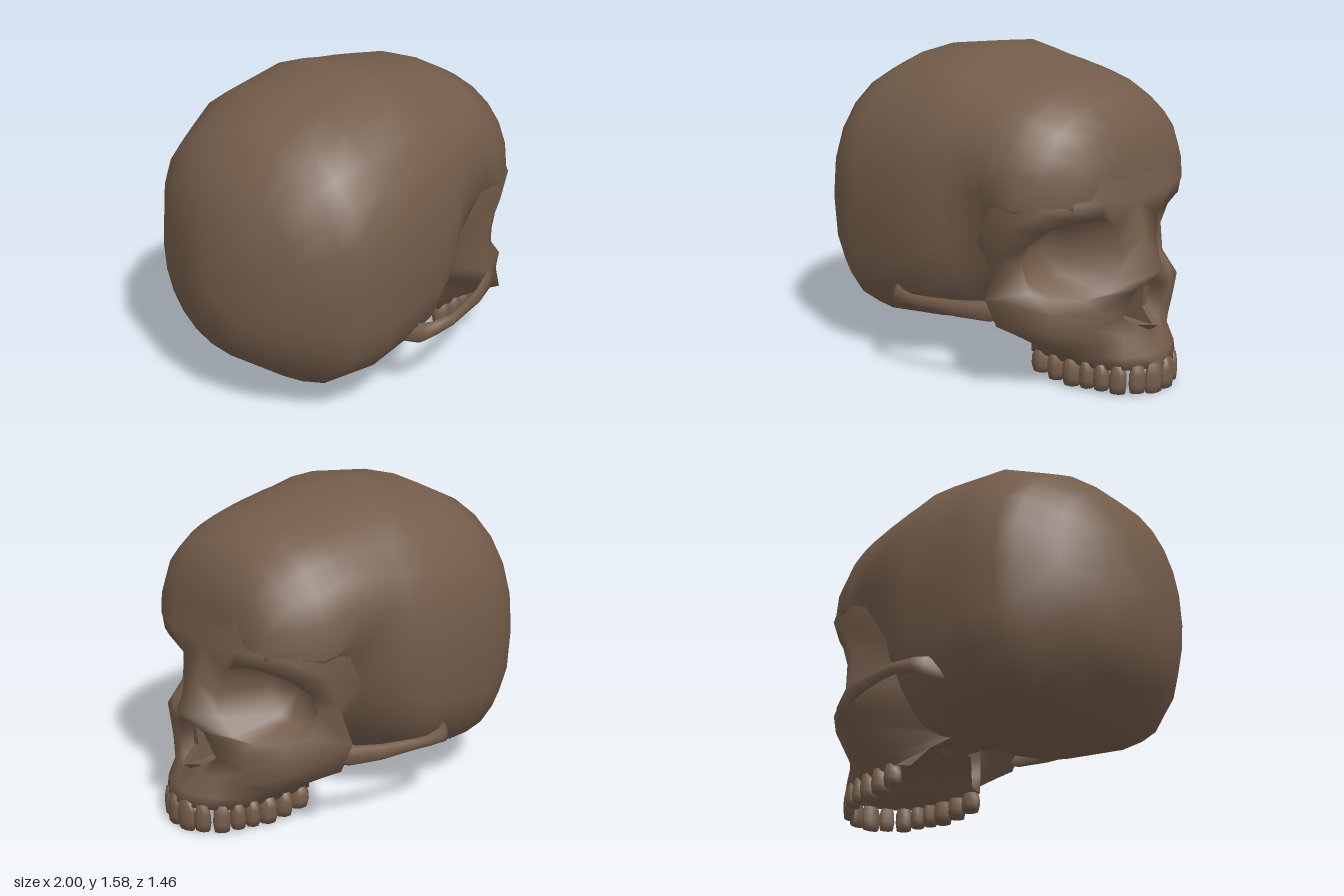
import * as THREE from 'three';
import { mergeGeometries, mergeVertices } from 'three/addons/utils/BufferGeometryUtils.js';

const bone = new THREE.MeshStandardMaterial({ color: 0x735c4a, side: THREE.DoubleSide });
bone.name = 'brown bone';

// Surface through rows of [x, y, z] points
function loft(rows, closed = false) {
  const n = rows[0].length, index = [];
  for (let r = 0; r < rows.length - 1; r++) {
    for (let c = 0; c < (closed ? n : n - 1); c++) {
      const d = (c + 1) % n;
      const a = r * n + c, b = r * n + d, e = a + n, f = b + n;
      index.push(a, b, e, b, f, e);
    }
  }
  const g = new THREE.BufferGeometry();
  g.setAttribute('position', new THREE.Float32BufferAttribute(rows.flat(2), 3));
  g.setIndex(index);
  return g;
}

// Copy to the other side of the head with corner order kept outward
function mirrored(geometry) {
  const g = geometry.clone().scale(1, 1, -1);
  g.index.array.reverse();
  return g;
}

function smooth(parts) {
  const g = mergeVertices(mergeGeometries(parts), 1e-4);
  g.computeVertexNormals();
  return g;
}

const mix = (a, b, t) => a + (b - a) * t;

// Narrowing of the temple below a line that falls towards the brow
function temple(x, y) {
  const below = 1.2 - 0.6 * (x - 0.05) - y;
  return 1 - 0.14 * THREE.MathUtils.smoothstep(below, 0, 0.26) * THREE.MathUtils.smoothstep(x, 0, 0.36);
}

// Braincase: cross-sections [x, bottom, widest height, top, half width, roundness of lower half]
function cranium() {
  const sections = [
    [-1.0, 0.69, 0.69, 0.69, 0, 2], [-0.93, 0.41, 0.70, 1.06, 0.225, 2],
    [-0.85, 0.28, 0.74, 1.25, 0.45, 2.2], [-0.70, 0.165, 0.78, 1.40, 0.61, 2.6],
    [-0.61, 0.11, 0.80, 1.445, 0.645, 2.9], [-0.44, 0.13, 0.83, 1.525, 0.71, 3.1],
    [-0.08, 0.17, 0.84, 1.58, 0.705, 2.9], [0.06, 0.21, 0.87, 1.55, 0.685, 2.4],
    [0.13, 0.235, 0.90, 1.54, 0.67, 2.2], [0.20, 0.26, 0.93, 1.525, 0.655, 2],
    [0.28, 0.255, 0.97, 1.51, 0.635, 1.9], [0.36, 0.25, 0.99, 1.493, 0.615, 1.8],
    [0.41, 0.52, 0.98, 1.483, 0.605, 2], [0.47, 0.74, 0.95, 1.472, 0.595, 2],
    [0.53, 0.82, 0.93, 1.45, 0.58, 2], [0.65, 0.85, 0.94, 1.38, 0.52, 2.3],
    [0.75, 0.88, 0.95, 1.285, 0.41, 2.5], [0.78, 0.90, 0.95, 1.10, 0.31, 2.5],
    [0.80, 0.93, 0.93, 0.93, 0, 2],
  ];
  const sides = 24;
  const rows = sections.map(([x, bottom, mid, top, width, low]) =>
    Array.from({ length: sides }, (_, i) => {
      const angle = (-i / sides) * Math.PI * 2;
      const c = Math.cos(angle), s = Math.sin(angle);
      const p = 2 / (s >= 0 ? 2.3 : low);
      const up = Math.abs(s) ** p;
      const y = s >= 0 ? mix(mid, top, up) : mix(mid, bottom, up);
      return [x, y, Math.sign(c) * Math.abs(c) ** p * width * temple(x, y)];
    }));
  return smooth([loft(rows, true)]);
}

// One half of the face, stitched from strips
function halfFace() {
  const rim = [[0.80, 0.82, 0.165], [0.81, 0.88, 0.26], [0.76, 0.875, 0.37], [0.67, 0.83, 0.47],
    [0.58, 0.75, 0.52], [0.53, 0.64, 0.53], [0.57, 0.51, 0.50], [0.67, 0.48, 0.43],
    [0.76, 0.48, 0.33], [0.81, 0.50, 0.23], [0.83, 0.58, 0.16], [0.83, 0.69, 0.125]];
  const around = [[0.81, 0.91, 0], [0.81, 0.94, 0.24], [0.76, 0.95, 0.39], [0.66, 0.92, 0.525],
    [0.52, 0.83, 0.585], [0.44, 0.66, 0.57], [0.40, 0.475, 0.625], [0.69, 0.42, 0.47],
    [0.80, 0.42, 0.28], [0.88, 0.50, 0.085], [0.965, 0.60, 0], [0.85, 0.74, 0]];
  const centre = [0.47, 0.67, 0.31];
  const inner = rim.map(([x, y, z]) =>
    [mix(x, centre[0], 0.8), mix(y, centre[1], 0.28), mix(z, centre[2], 0.28)]);
  const socket = loft([around, rim, inner, rim.map(() => centre)], true);

  // Brow running up into the forehead and back into the temple
  const templeTop = [0.42, 0.985, 0.58];
  const brow = loft([
    [[0.763, 1.20, 0], [0.763, 1.15, 0.22], [0.695, 1.12, 0.41], [0.59, 1.08, 0.515], templeTop],
    around.slice(0, 5),
  ]);

  // Upper jaw, from the nose floor down to the gums and in to the palate
  const jaw = [
    [[0.945, 0.32, 0], [0.88, 0.325, 0.08], [0.85, 0.37, 0.145], [0.79, 0.33, 0.29], [0.68, 0.33, 0.46], [0.48, 0.36, 0.63]],
    [[0.90, 0.285, 0], [0.90, 0.28, 0.09], [0.875, 0.28, 0.16], [0.81, 0.25, 0.24], [0.66, 0.22, 0.38], [0.50, 0.30, 0.53]],
    [[0.96, 0.19, 0], [0.945, 0.19, 0.10], [0.90, 0.19, 0.185], [0.80, 0.18, 0.25], [0.62, 0.16, 0.30], [0.42, 0.18, 0.32]],
    [[0.985, 0.13, 0], [0.965, 0.13, 0.10], [0.91, 0.13, 0.185], [0.80, 0.12, 0.245], [0.60, 0.12, 0.285], [0.40, 0.13, 0.30]],
    [[0.91, 0.12, 0], [0.89, 0.12, 0.08], [0.84, 0.12, 0.13], [0.74, 0.12, 0.17], [0.57, 0.12, 0.21], [0.38, 0.14, 0.22]],
    [[0.82, 0.21, 0], [0.80, 0.21, 0.05], [0.75, 0.22, 0.08], [0.67, 0.22, 0.11], [0.53, 0.23, 0.13], [0.30, 0.26, 0.13]],
    [[0.82, 0.21, 0], [0.79, 0.22, 0], [0.74, 0.23, 0], [0.66, 0.23, 0], [0.52, 0.24, 0], [0.30, 0.27, 0]],
  ];
  const cheek = loft([[9, 8, 7, 6].map(i => around[i]), jaw[0].slice(2)]);

  // Rear of the cheekbone and jaw, running into the temple
  const back = loft([
    [templeTop, [0.25, 0.70, 0.53], [0.27, 0.5, 0.41],
      [0.28, 0.4, 0.30], [0.28, 0.32, 0.20], [0.24, 0.29, 0.15], [0.20, 0.28, 0.10]],
    [...around.slice(4, 7), ...jaw.slice(0, 4).map(row => row[5])],
  ]);

  // Nose cavity
  const nose = loft([
    [around[10], around[9], jaw[0][2], jaw[0][1], jaw[0][0]],
    [[0.73, 0.58, 0], [0.71, 0.50, 0.07], [0.70, 0.38, 0.115], [0.72, 0.33, 0.07], [0.74, 0.325, 0]],
    Array(5).fill([0.69, 0.45, 0]),
  ]);
  return [socket, brow, cheek, loft(jaw), back, nose];
}

// Cheek arch: sections [x, y, z, half height, half thickness]
function cheekArch() {
  const sections = [
    [0.50, 0.41, 0.51, 0.03, 0.015], [0.41, 0.415, 0.61, 0.052, 0.022], [0.25, 0.405, 0.665, 0.042, 0.02],
    [0.08, 0.40, 0.695, 0.032, 0.02], [-0.02, 0.395, 0.707, 0.03, 0.024], [-0.13, 0.385, 0.685, 0.04, 0.03],
    [-0.19, 0.37, 0.645, 0.055, 0.035], [-0.23, 0.36, 0.56, 0.045, 0.03],
  ];
  return smooth([loft(sections.map(([x, y, z, h, t]) => Array.from({ length: 8 }, (_, i) => {
    const a = (i / 8) * Math.PI * 2;
    return [x, y + Math.sin(a) * h, z + Math.cos(a) * t];
  })), true)]);
}

// Thin wall inside the nose
function septum() {
  const shape = new THREE.Shape([[0.69, 0.32], [0.93, 0.32], [0.86, 0.40], [0.87, 0.50], [0.91, 0.575], [0.69, 0.575]]
    .map(([x, y]) => new THREE.Vector2(x, y)));
  return new THREE.ExtrudeGeometry(shape, { depth: 0.034, bevelEnabled: false }).translate(0, 0, -0.017);
}

// Upper teeth set along the gum line
function addTeeth(group, side) {
  const arch = new THREE.CatmullRomCurve3([[0.965, 0], [0.94, 0.10], [0.88, 0.18], [0.77, 0.235], [0.60, 0.265], [0.395, 0.28]]
    .map(([x, z]) => new THREE.Vector3(x, 0, z)));
  const profile = [[0, 0], [0.85, 0.01], [1, 0.3], [0.95, 0.65], [0.7, 1], [0, 1.05]]
    .map(([x, y]) => new THREE.Vector2(x, y));
  // [share of the arch, depth, lowest point]
  const sizes = [[0.10, 0.055, 0], [0.08, 0.055, 0.01], [0.085, 0.065, 0.005], [0.075, 0.08, 0.015],
    [0.075, 0.085, 0.015], [0.095, 0.10, 0.01], [0.09, 0.10, 0.02], [0.10, 0.09, 0.035]];
  const total = sizes.reduce((sum, s) => sum + s[0], 0);
  const length = arch.getLength();
  let along = 0;
  sizes.forEach(([share, depth, low], i) => {
    const u = (along + share / 2) / total;
    along += share;
    const p = arch.getPointAt(u), t = arch.getTangentAt(u);
    const tooth = new THREE.Mesh(new THREE.LatheGeometry(profile, 8, Math.PI / 8), bone);
    tooth.name = 'tooth' + (i + 1);
    tooth.scale.set(depth / 2, 0.145 - low, (share / total) * length * 0.53);
    tooth.position.set(p.x, low, p.z * side);
    tooth.rotation.y = Math.atan2(t.x, t.z * side);
    // Front teeth stand slightly forward
    if (i < 2) tooth.position.x += 0.013;
    group.add(tooth);
  });
}

export function createModel() {
  const model = new THREE.Group();
  model.name = 'skull';
  const add = (name, geometry) => {
    const mesh = new THREE.Mesh(geometry, bone);
    mesh.name = name;
    model.add(mesh);
  };
  add('cranium', cranium());
  const half = halfFace();
  add('face', smooth([...half, ...half.map(mirrored)]));
  add('noseSeptum', septum());
  const arch = cheekArch();
  add('leftCheekArch', arch);
  add('rightCheekArch', mirrored(arch));
  for (const side of [1, -1]) {
    const teeth = new THREE.Group();
    teeth.name = side > 0 ? 'leftTeeth' : 'rightTeeth';
    addTeeth(teeth, side);
    model.add(teeth);
  }
  return model;
}
